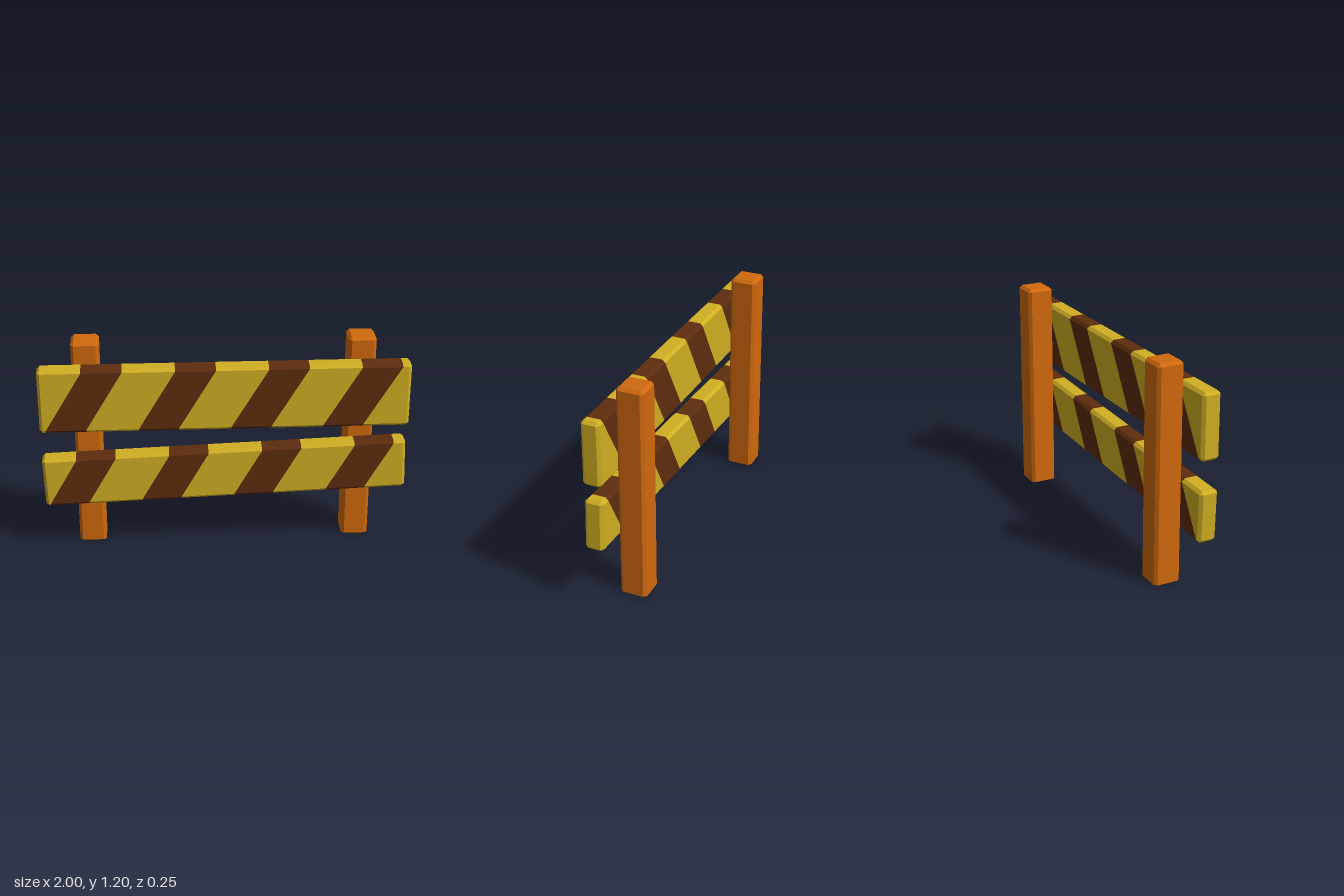
import * as THREE from 'three';

const CH = 0.016; // chamfer on every edge

// Octagonal chamfered-rectangle section; xAt(side) gives x for side -1 (lower) .. 1 (upper)
function section(h, d, xAt, collapsed = false) {
  const a = h - CH, b = d - CH;
  const pts = collapsed
    ? [[a, -b], [a, b], [a, b], [-a, b], [-a, b], [-a, -b], [-a, -b], [a, -b]]
    : [[h, -b], [h, b], [a, d], [-a, d], [-h, b], [-h, -b], [-a, -d], [a, -d]];
  return pts.map(([y, z]) => new THREE.Vector3(xAt(Math.sign(y)), y, z));
}

// Flat-faced skin through the sections; bands[i] is the material index of band i
function loft(rings, bands, capStart) {
  const pos = [], geo = new THREE.BufferGeometry();
  const tri = (a, b, c) => {
    if (a.equals(b) || b.equals(c) || a.equals(c)) return;
    for (const p of [a, b, c]) pos.push(p.x, p.y, p.z);
  };
  const group = (material, build) => {
    const start = pos.length / 3;
    build();
    geo.addGroup(start, pos.length / 3 - start, material);
  };
  bands.forEach((material, k) => group(material, () => {
    const A = rings[k], B = rings[k + 1];
    for (let i = 0; i < 8; i++) {
      const j = (i + 1) % 8;
      tri(A[i], A[j], B[j]);
      tri(A[i], B[j], B[i]);
    }
  }));
  group(0, () => {
    const E = rings[rings.length - 1], S = rings[0];
    tri(E[0], E[1], E[3]);
    tri(E[0], E[3], E[5]);
    if (capStart) {
      tri(S[0], S[3], S[1]);
      tri(S[0], S[5], S[3]);
    }
  });
  geo.setAttribute('position', new THREE.Float32BufferAttribute(pos, 3));
  geo.computeVertexNormals();
  return geo;
}

// Board with four slanted stripes running right through it
function plankGeometry({ half, h, d, low, high, width, step }) {
  const rings = [section(h, d, () => -half, true), section(h, d, () => -half + CH)];
  const bands = [0];
  for (let i = 0; i < 4; i++) {
    for (const w of [0, width]) {
      rings.push(section(h, d, (s) => (s > 0 ? high : low) + i * step + w));
      bands.push(w ? 1 : 0);
    }
  }
  rings.push(section(h, d, () => half - CH), section(h, d, () => half, true));
  bands.push(0, 0);
  return loft(rings, bands, true);
}

export function createModel() {
  const yellow = new THREE.MeshStandardMaterial({ color: 0xd0ae22 });
  yellow.name = 'yellowPaint';
  const brown = new THREE.MeshStandardMaterial({ color: 0x5e2c0e });
  brown.name = 'brownPaint';
  const orange = new THREE.MeshStandardMaterial({ color: 0xd0690e, side: THREE.DoubleSide });
  orange.name = 'orangeWood';

  const model = new THREE.Group();
  model.name = 'barrier';
  const add = (name, geometry, material, x, y, z) => {
    const mesh = new THREE.Mesh(geometry, material);
    mesh.name = name;
    mesh.position.set(x, y, z);
    model.add(mesh);
    return mesh;
  };

  // Posts: chamfered tops, open undersides
  const r = 0.075;
  const post = loft([
    section(r, r, () => 0),
    section(r, r, () => 1.204 - CH),
    section(r, r, () => 1.204, true),
  ], [0, 0], false).rotateZ(Math.PI / 2);
  post.clearGroups();
  add('leftPost', post, orange, 0.745, 0, -0.051);
  add('rightPost', post, orange, -0.745, 0, -0.051);

  // Striped boards; the lower one hangs slightly crooked
  add('upperPlank', plankGeometry({
    half: 1, h: 0.182, d: 0.052, low: -0.967, high: -0.767, width: 0.217, step: 0.5,
  }), [yellow, brown], 0, 0.907, 0.075);
  const lower = add('lowerPlank', plankGeometry({
    half: 0.995, h: 0.144, d: 0.052, low: -0.97, high: -0.81, width: 0.215, step: 0.508,
  }), [yellow, brown], 0, 0.457, 0.075);
  lower.rotation.z = 0.036;

  return model;
}
